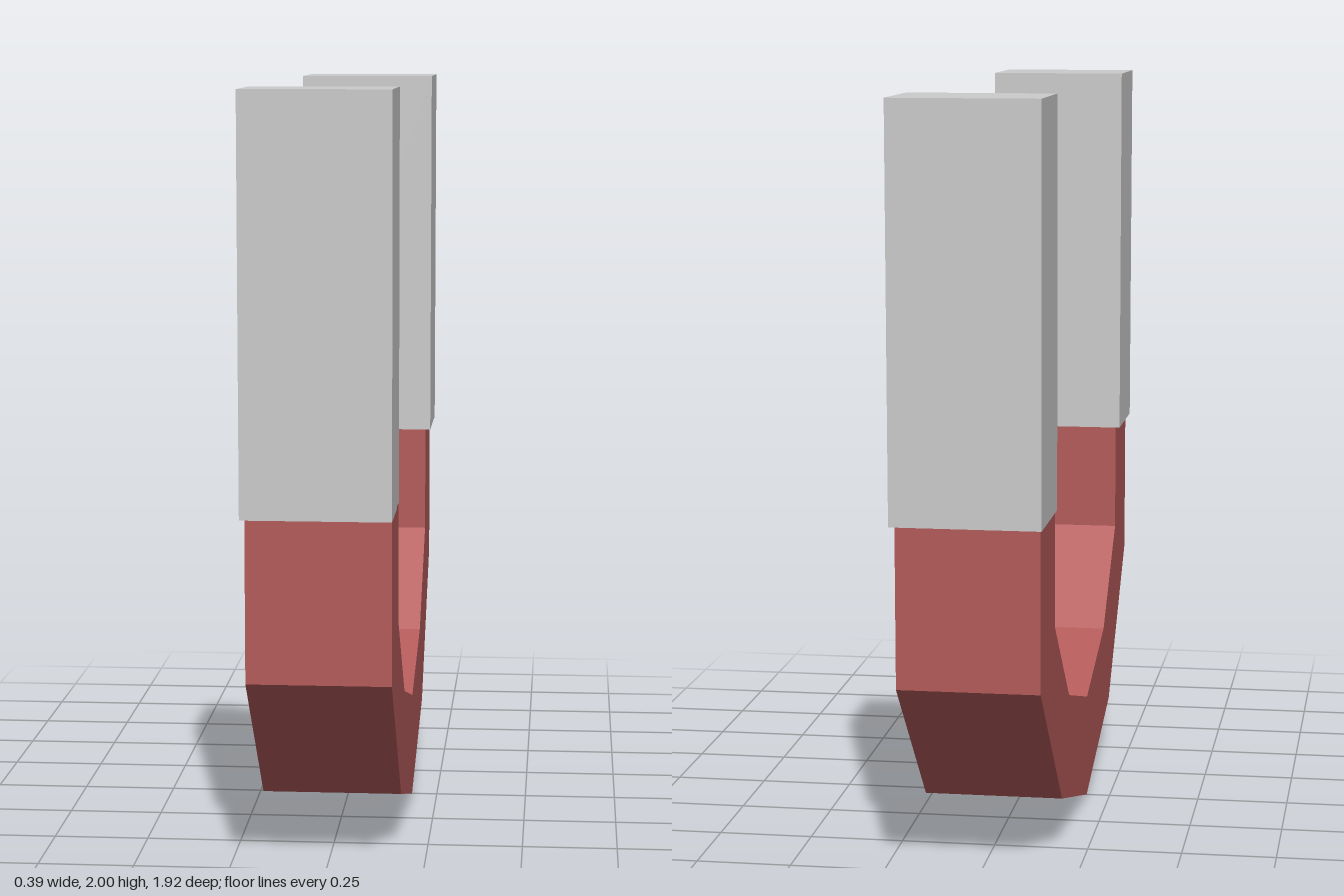
import * as THREE from 'three';

const red = new THREE.MeshStandardMaterial({ color: 0xb55b5b, flatShading: true });
const grey = new THREE.MeshStandardMaterial({ color: 0xcccccc, flatShading: true });

// Extrudes a (z, y) profile sideways from x0 to x1
function slab(name, profile, x0, x1, material) {
  const shape = new THREE.Shape(profile.map(([z, y]) => new THREE.Vector2(z, y)));
  const geometry = new THREE.ExtrudeGeometry(shape, { depth: x1 - x0, bevelEnabled: false });
  geometry.rotateY(-Math.PI / 2).translate(x1, 0, 0);
  const mesh = new THREE.Mesh(geometry, material);
  mesh.name = name;
  return mesh;
}

export function createModel() {
  const group = new THREE.Group();
  group.name = 'horseshoeMagnet';

  // Faceted U-shaped body: half profiles mirrored front to back
  const outer = [[0.94, 0.95], [0.936, 0.53], [0.53, 0.145]];
  const inner = [[0.39, 0.39], [0.675, 0.642], [0.675, 0.95]];
  const mirror = (points) => points.map(([z, y]) => [-z, y]).reverse();
  const body = [...outer, [0, 0], ...mirror(outer), ...mirror(inner), [0, 0.285], ...inner];
  group.add(slab('body', body, -0.185, 0.18, red));

  // Slightly flared pole tips, a little wider than the body
  const frontTip = [[0.665, 0.945], [0.67, 2], [0.96, 2], [0.945, 0.945]];
  const backTip = [[-0.66, 0.945], [-0.667, 2], [-0.957, 2], [-0.945, 0.945]];
  group.add(slab('frontTip', frontTip, -0.198, 0.18, grey));
  group.add(slab('backTip', backTip, -0.188, 0.195, grey));

  return group;
}
